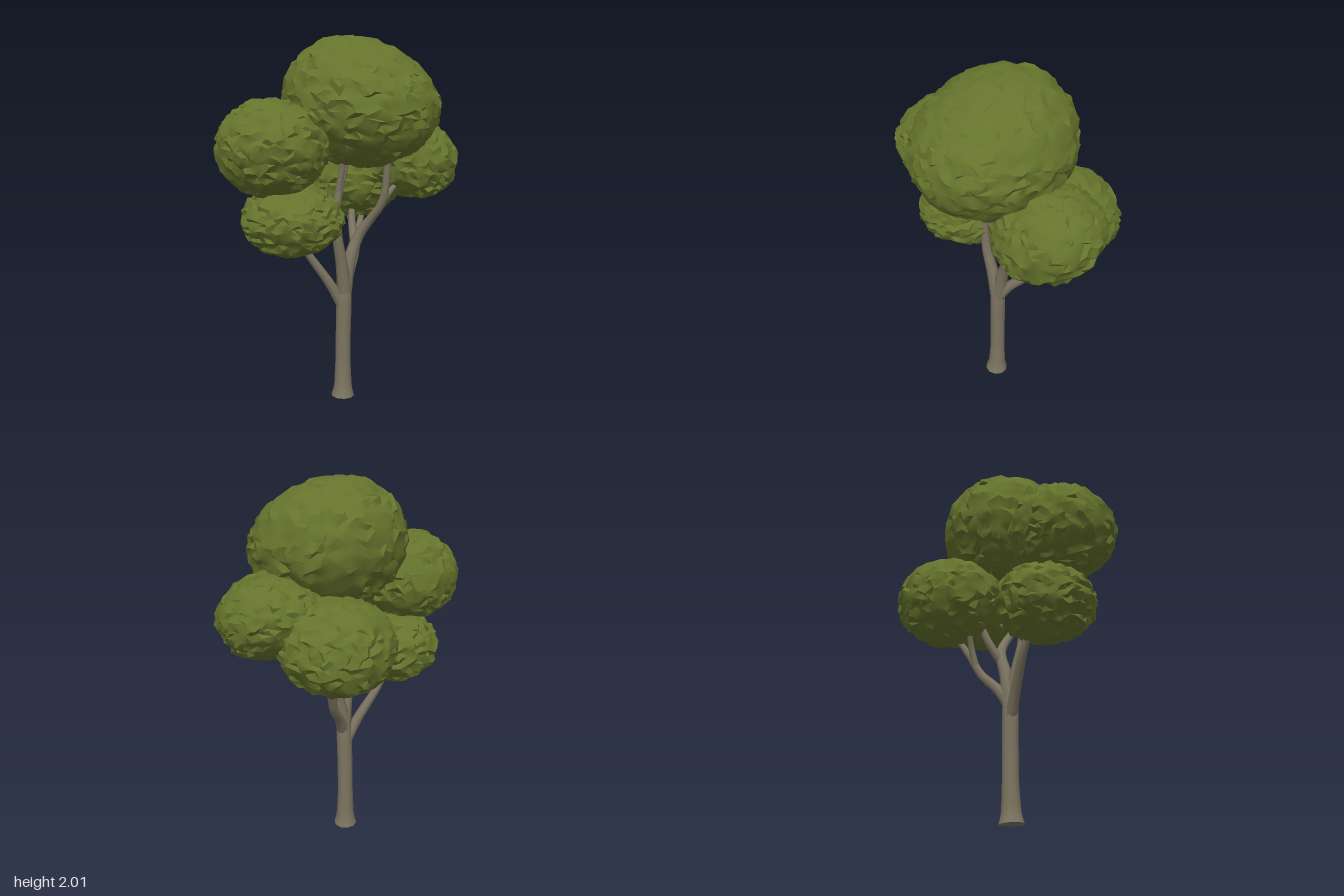
import * as THREE from 'three';
import { mergeVertices, toCreasedNormals } from 'three/addons/utils/BufferGeometryUtils.js';

const bark = new THREE.MeshStandardMaterial({ color: 0x7d7561 });
bark.name = 'bark';
const leaves = new THREE.MeshStandardMaterial({ color: 0x66732c });
leaves.name = 'leaves';

// Small seeded random generator
function seeded(seed) {
  let s = seed;
  return () => {
    s = (s * 16807) % 2147483647;
    return s / 2147483647;
  };
}

// Tapered limb through [x, y, z, radius] stations
function limb(name, stations, sides = 8) {
  const curve = new THREE.CatmullRomCurve3(stations.map(([x, y, z]) => new THREE.Vector3(x, y, z)));
  const last = stations.length - 1;
  const steps = last * 4;
  let geo = new THREE.TubeGeometry(curve, steps, 1, sides);
  const pos = geo.attributes.position;
  const centre = new THREE.Vector3(), p = new THREE.Vector3();
  for (let i = 0; i <= steps; i++) {
    curve.getPointAt(i / steps, centre);
    const k = curve.getUtoTmapping(i / steps) * last;
    const a = Math.min(Math.floor(k), last - 1);
    const r = THREE.MathUtils.lerp(stations[a][3], stations[a + 1][3], k - a);
    for (let j = 0; j <= sides; j++) {
      const n = i * (sides + 1) + j;
      p.fromBufferAttribute(pos, n).sub(centre).multiplyScalar(r).add(centre);
      pos.setXYZ(n, p.x, p.y, p.z);
    }
  }
  // weld the seam so the bark shades smoothly all round
  geo.deleteAttribute('uv');
  geo.deleteAttribute('normal');
  geo = mergeVertices(geo, 1e-5);
  geo.computeVertexNormals();
  const mesh = new THREE.Mesh(geo, bark);
  mesh.name = name;
  return mesh;
}

// Crumpled ellipsoid of leaves; taper thins its front, droop lowers its front
function clump(name, centre, radii, detail, seed, taper, droop = 0) {
  const rand = seeded(seed);
  let geo = new THREE.IcosahedronGeometry(1, detail);
  geo.deleteAttribute('normal');
  geo.deleteAttribute('uv');
  geo = mergeVertices(geo, 1e-4);
  const pos = geo.attributes.position;
  const mean = (radii[0] + radii[1] + radii[2]) / 3;
  const v = new THREE.Vector3();
  for (let i = 0; i < pos.count; i++) {
    v.fromBufferAttribute(pos, i);
    // slide each point sideways, then push it in or out
    const slide = 0.85 / detail;
    v.x += (rand() - 0.5) * slide;
    v.y += (rand() - 0.5) * slide;
    v.z += (rand() - 0.5) * slide;
    const wave = Math.sin(v.x * 5 + seed) * Math.sin(v.y * 6 + seed) * Math.sin(v.z * 5);
    v.normalize().multiplyScalar(0.986 + 0.012 * wave + (rand() - 0.5) * 0.026 / mean);
    pos.setXYZ(i, v.x * radii[0], v.y * radii[1] * (1 - taper * v.z) - droop * v.z, v.z * radii[2]);
  }
  const mesh = new THREE.Mesh(toCreasedNormals(geo, 0.7), leaves);
  mesh.name = name;
  mesh.position.set(...centre);
  return mesh;
}

export function createModel() {
  const tree = new THREE.Group();
  tree.name = 'tree';

  // Trunk with a flared foot
  tree.add(limb('trunk', [
    [-0.003, 0, -0.004, 0.066], [-0.001, 0.05, -0.005, 0.052], [0.002, 0.2, -0.008, 0.044],
    [0.004, 0.4, -0.007, 0.043], [0.007, 0.58, -0.004, 0.044], [0.01, 0.7, -0.006, 0.034], [0.01, 0.75, -0.008, 0.015],
  ], 10));
  const foot = new THREE.Mesh(new THREE.CircleGeometry(0.065, 10), bark);
  foot.name = 'trunkFoot';
  foot.position.set(-0.003, 0, -0.004);
  foot.rotation.x = Math.PI / 2;
  tree.add(foot);

  // Main branches and their twigs
  tree.add(
    limb('lowLeftwardBranch', [[0, 0.53, -0.01, 0.03], [-0.06, 0.66, -0.04, 0.028], [-0.18, 0.86, -0.1, 0.021], [-0.26, 1.0, -0.11, 0.016]]),
    limb('backBranch', [[0.01, 0.6, 0, 0.034], [0.07, 0.7, -0.03, 0.029], [0.16, 0.8, -0.07, 0.024], [0.21, 0.9, -0.1, 0.021], [0.3, 1.05, -0.14, 0.016]]),
    limb('backTwig', [[0.185, 0.84, -0.085, 0.02], [0.19, 0.95, -0.12, 0.017], [0.17, 1.08, -0.17, 0.014]]),
    limb('leftwardCrownBranch', [[0.004, 0.62, 0, 0.04], [-0.022, 0.78, 0.008, 0.034], [-0.062, 0.95, 0.015, 0.027], [-0.064, 1.15, 0.018, 0.022], [-0.025, 1.31, 0.03, 0.018], [0, 1.5, 0.04, 0.014]]),
    limb('forkTwig', [[-0.06, 1.18, 0.018, 0.018], [-0.058, 1.33, 0.05, 0.015], [-0.07, 1.48, 0.07, 0.012]]),
    limb('rightwardCrownBranch', [[0.012, 0.62, -0.005, 0.041], [0.045, 0.79, 0, 0.035], [0.1, 0.93, 0.018, 0.03], [0.126, 1.02, 0.075, 0.025], [0.14, 1.13, 0.155, 0.022], [0.138, 1.33, 0.19, 0.019], [0.13, 1.5, 0.2, 0.014]]),
    limb('rearTwig', [[0.08, 0.87, 0.005, 0.025], [0.12, 0.98, -0.055, 0.022], [0.16, 1.12, -0.1, 0.016]]),
    limb('sideTwig', [[0.139, 1.13, 0.155, 0.018], [0.2, 1.185, 0.16, 0.015], [0.32, 1.25, 0.14, 0.011]]),
  );

  // Leaf clumps
  tree.add(
    clump('topCrown', [0.05, 1.657, 0.075], [0.4, 0.334, 0.425], 11, 11, 0.12, 0.045),
    clump('highLeftwardClump', [-0.425, 1.443, -0.07], [0.28, 0.245, 0.292], 9, 23, 0.08),
    clump('lowLeftwardClump', [-0.302, 1.063, -0.07], [0.26, 0.196, 0.274], 9, 37, 0.1),
    clump('rightwardClump', [0.425, 1.343, 0.093], [0.277, 0.219, 0.277], 9, 53, -0.1, 0.02),
    clump('backClump', [0.277, 1.22, -0.205], [0.3, 0.241, 0.293], 9, 71, 0.06, -0.01),
  );
  return tree;
}
